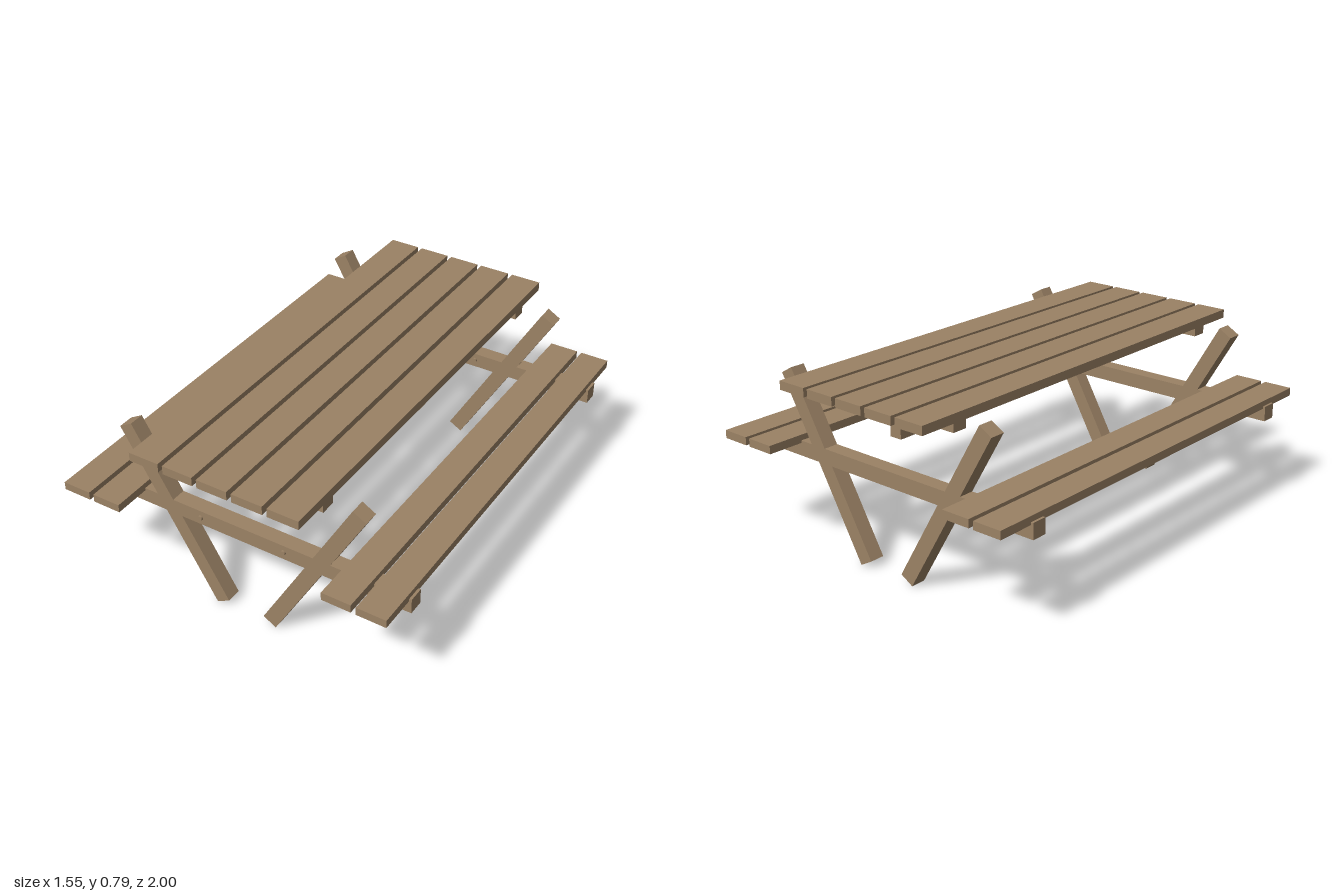
import * as THREE from 'three';

export function createModel() {
  const model = new THREE.Group();
  model.name = 'picnicTable';
  const wood = new THREE.MeshStandardMaterial({ color: 0x9b8265 });
  wood.name = 'wood';

  // Adds a box beam to the model
  function beam(name, w, h, d, x, y, z, tilt = 0) {
    const mesh = new THREE.Mesh(new THREE.BoxGeometry(w, h, d), wood);
    mesh.name = name;
    mesh.position.set(x, y, z);
    mesh.rotation.z = tilt;
    model.add(mesh);
  }

  // Table top planks
  for (let i = -2; i <= 2; i++) beam('tablePlank', 0.139, 0.039, 2, i * 0.16, 0.772, 0);

  // Two bench planks on each side
  for (const side of [-1, 1]) {
    beam('benchPlankInner', 0.13, 0.036, 2, side * 0.545, 0.473, 0);
    beam('benchPlankOuter', 0.13, 0.036, 2, side * 0.697, 0.473, 0);
  }

  // Long stretcher under the table top
  beam('stretcher', 0.057, 0.057, 1.51, 0, 0.603, 0);

  // Trestle at each end: top cleat, bench bearer, two slanted legs and bolts
  const boltGeometry = new THREE.CylinderGeometry(0.011, 0.011, 0.02, 16).rotateX(Math.PI / 2);
  for (const z of [-0.8, 0.8]) {
    beam('tableCleat', 0.776, 0.045, 0.068, 0, 0.738, z);
    beam('benchBearer', 1.546, 0.068, 0.068, 0, 0.432, z);
    for (const side of [-1, 1]) {
      beam('leg', 0.068, 0.858, 0.068, side * 0.331, 0.389, z, -side * Math.PI / 6);
    }
    for (const x of [-0.6, -0.2, 0.2, 0.6]) {
      const bolt = new THREE.Mesh(boltGeometry, wood);
      bolt.name = 'bolt';
      bolt.position.set(x, 0.433, z + 0.033);
      model.add(bolt);
    }
  }
  return model;
}
